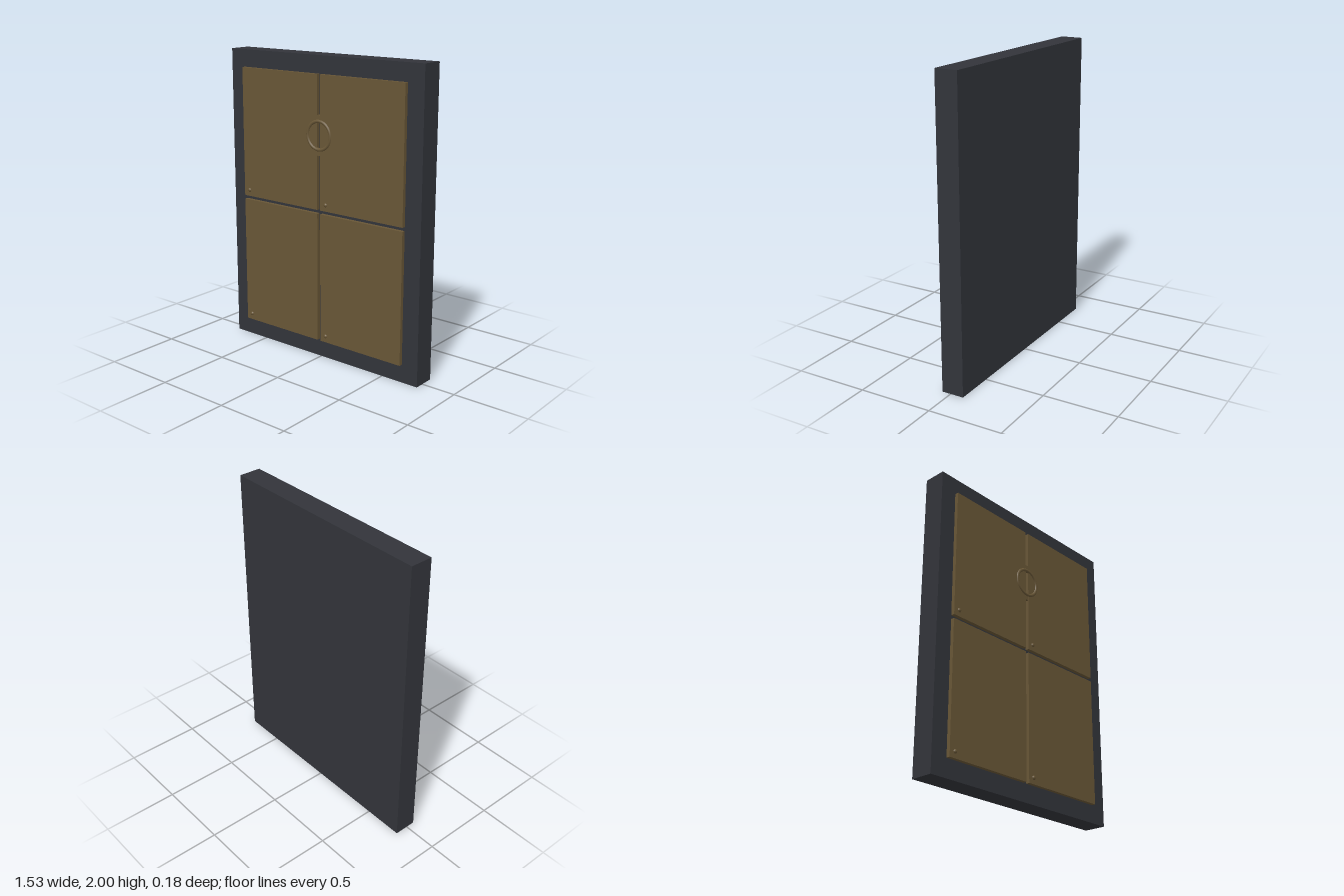
import * as THREE from 'three';

export function createModel() {
  const group = new THREE.Group();
  const dark = new THREE.MeshStandardMaterial({ color: 0x32343a });
  const bronze = new THREE.MeshStandardMaterial({ color: 0x685636 });

  function add(name, geometry, material, x, y, z) {
    const mesh = new THREE.Mesh(geometry, material);
    mesh.name = name;
    mesh.position.set(x, y, z);
    group.add(mesh);
    return mesh;
  }

  // Backing slab
  add('backing', new THREE.BoxGeometry(1.535, 2, 0.15), dark, 0, 1, -0.015);

  // Four raised panels, each with a stud in its lower left corner
  const panel = new THREE.BoxGeometry(0.64, 0.87, 0.027);
  const stud = new THREE.SphereGeometry(0.015, 16, 12);
  for (const x of [-0.333, 0.331]) {
    for (const y of [0.555, 1.45]) {
      add('panel', panel, bronze, x, y, 0.0715);
      add('stud', stud, bronze, x - 0.277, y - 0.393, 0.079);
    }
  }

  // Flat collar bridging the gap between the upper panels
  const collar = new THREE.Shape().absarc(0, 0, 0.13, 0, Math.PI * 2);
  collar.holes.push(new THREE.Path().absarc(0, 0, 0.085, 0, Math.PI * 2, true));
  add('collar', new THREE.ExtrudeGeometry(collar, { depth: 0.025, bevelEnabled: false, curveSegments: 32 }),
    bronze, 0, 1.5, 0.0592);

  // Rounded ring standing proud of the panels
  add('ring', new THREE.TorusGeometry(0.091, 0.012, 12, 48), bronze, 0, 1.5, 0.08);

  return group;
}
